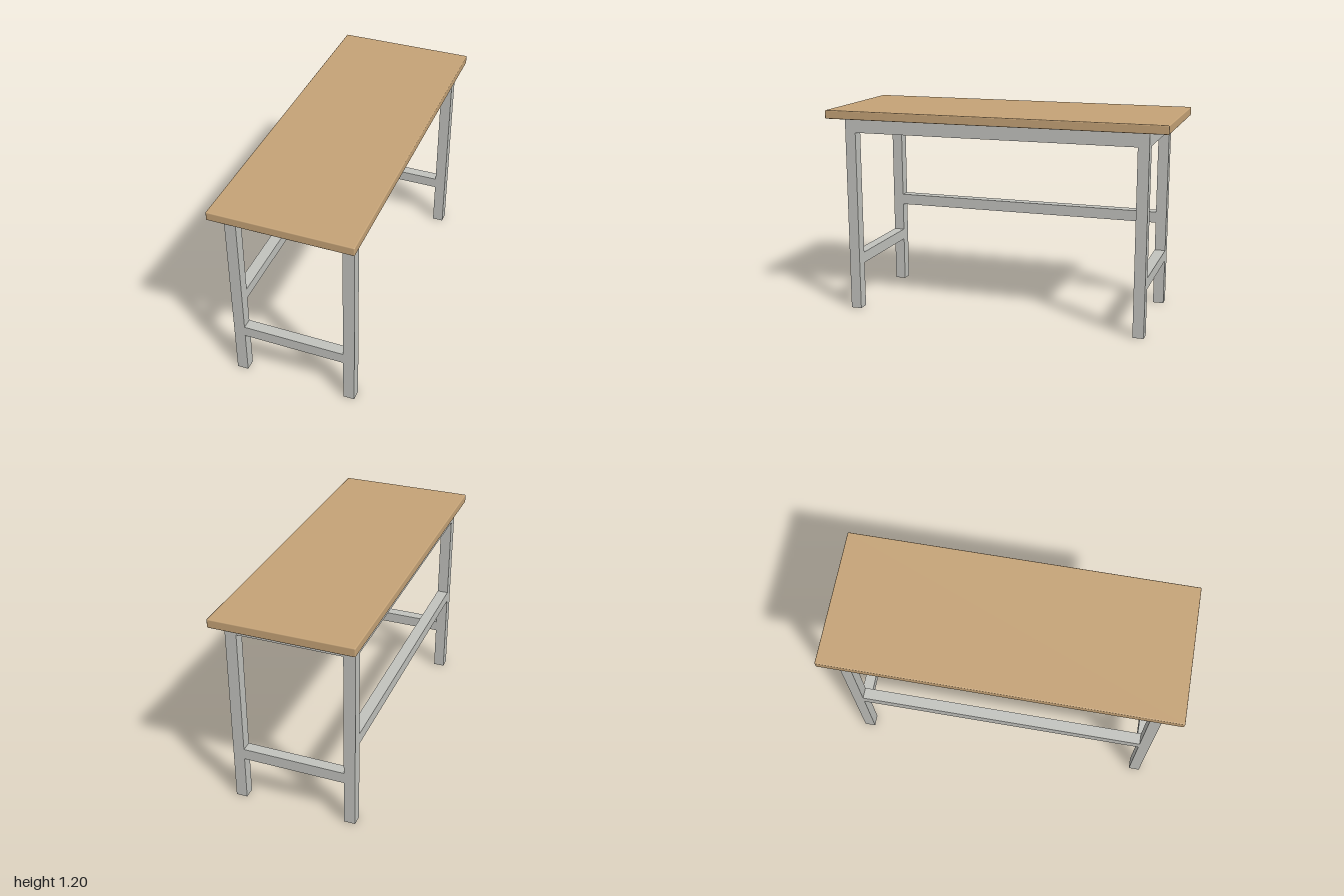
import * as THREE from 'three';
import { RoundedBoxGeometry } from 'three/addons/geometries/RoundedBoxGeometry.js';

export function createModel() {
  const model = new THREE.Group();
  model.name = 'workTable';

  const wood = new THREE.MeshStandardMaterial({ color: 0xc4a276 });
  wood.name = 'wood';
  const metal = new THREE.MeshStandardMaterial({ color: 0xc1c2bd });
  metal.name = 'paintedMetal';

  const add = (name, geometry, material, x, y, z) => {
    const mesh = new THREE.Mesh(geometry, material);
    mesh.name = name;
    mesh.position.set(x, y, z);
    model.add(mesh);
  };

  const halfX = 0.36, halfZ = 0.892; // outer faces of the frame
  const legX = 0.065, legZ = 0.063; // leg section
  const apronBottom = 1.07, apronTop = 1.15;
  const cx = halfX - legX / 2, cz = halfZ - legZ / 2;

  // Table top with softened edges
  add('tableTop', new RoundedBoxGeometry(0.8, 0.05, 2, 2, 0.006), wood, 0, 1.175, 0);

  // Solid frame under the top
  add('apron', new THREE.BoxGeometry(halfX * 2, apronTop - apronBottom, halfZ * 2),
    metal, 0, (apronTop + apronBottom) / 2, 0);

  for (const end of [1, -1]) {
    const endName = end > 0 ? 'front' : 'back';
    // Legs
    for (const side of [1, -1]) {
      add(endName + (side > 0 ? 'LeftLeg' : 'RightLeg'),
        new THREE.BoxGeometry(legX, apronBottom, legZ), metal, side * cx, apronBottom / 2, end * cz);
    }
    // Low stretcher between each end pair of legs
    add(endName + 'Stretcher', new THREE.BoxGeometry((halfX - legX) * 2, 0.065, legZ),
      metal, 0, 0.302, end * cz);
  }

  // Long rail on one side only
  add('longRail', new THREE.BoxGeometry(legX, 0.065, (halfZ - legZ) * 2), metal, -cx, 0.537, 0);

  return model;
}
